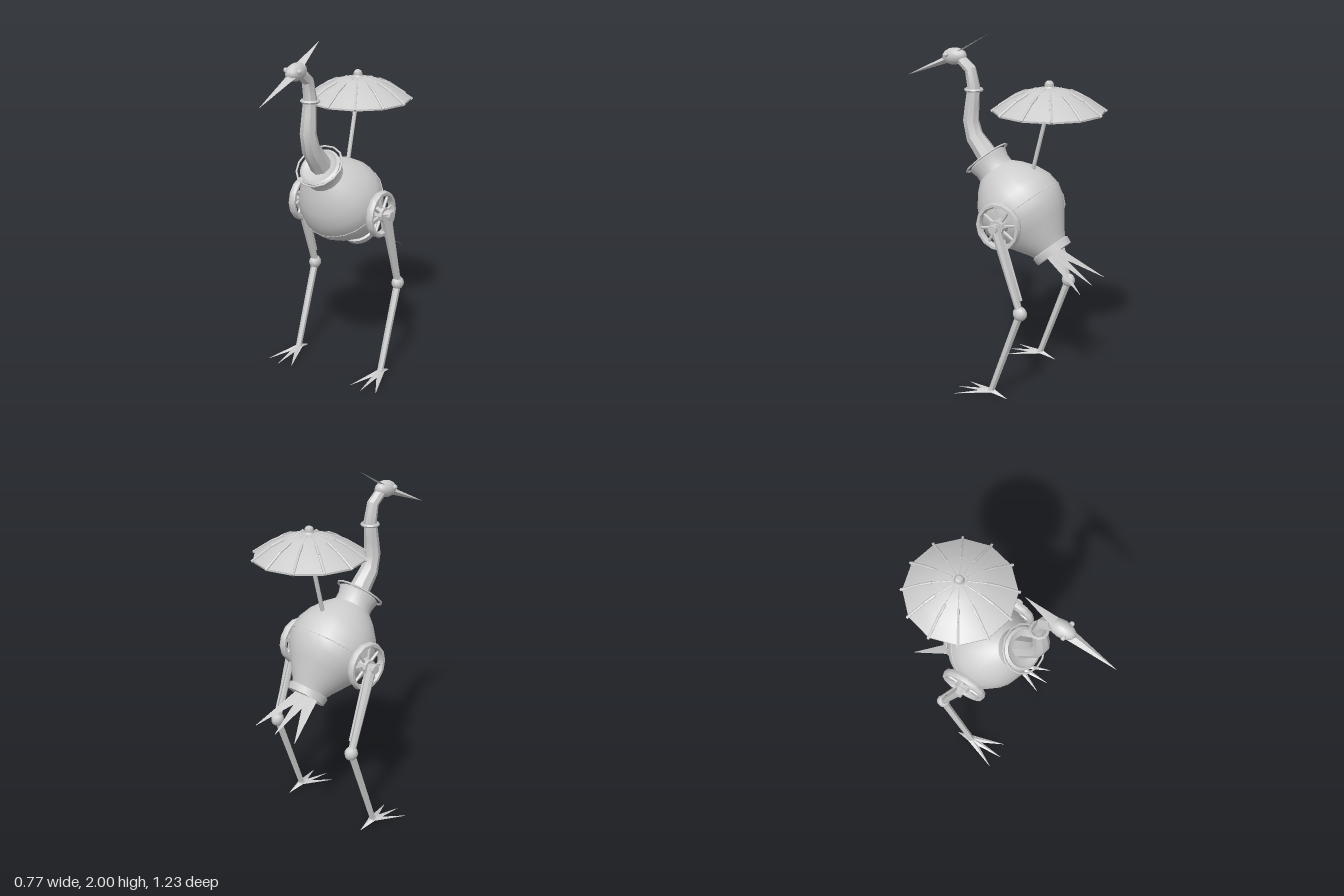
import * as THREE from 'three';
import { toCreasedNormals } from 'three/addons/utils/BufferGeometryUtils.js';

const grey = new THREE.MeshStandardMaterial({ color: 0xcccccc });
grey.name = 'light grey';
const V = (x, y, z) => new THREE.Vector3(x, y, z);

function add(parent, name, geometry, crease = 0.6) {
  const mesh = new THREE.Mesh(toCreasedNormals(geometry, crease), grey);
  mesh.name = name;
  parent.add(mesh);
  return mesh;
}

// Tapered bar from a to b; "flat" squashes it across the sideways axis
function bar(parent, name, a, b, ra, rb, sides = 8, flat = 1) {
  const d = b.clone().sub(a);
  const length = d.length();
  d.normalize();
  const ref = Math.abs(d.x) > 0.9 ? V(0, 1, 0) : V(1, 0, 0);
  const side = ref.addScaledVector(d, -ref.dot(d)).normalize();
  const g = new THREE.CylinderGeometry(rb, ra, length, sides);
  g.scale(1, 1, flat);
  g.applyMatrix4(new THREE.Matrix4().makeBasis(side, d, side.clone().cross(d)));
  g.translate(...a.clone().add(b).multiplyScalar(0.5).toArray());
  return add(parent, name, g);
}

function ball(parent, name, p, r, w = 12, h = 8, crease = 0.9) {
  const mesh = add(parent, name, new THREE.SphereGeometry(r, w, h), crease);
  mesh.position.copy(p);
  return mesh;
}

// Flat-lying ring around the local y axis
function ring(parent, name, r, tube, y, sides = 24) {
  const g = new THREE.TorusGeometry(r, tube, 6, sides);
  g.rotateX(Math.PI / 2);
  g.translate(0, y, 0);
  return add(parent, name, g, 1.1);
}

function makePot() {
  const pot = new THREE.Group();
  pot.name = 'potBody';
  const profile = [
    [0, -0.012], [0.1, -0.012], [0.112, -0.018], [0.118, 0.022], [0.106, 0.028],
    [0.125, 0.06], [0.195, 0.16], [0.232, 0.225], [0.249, 0.295], [0.24, 0.37],
    [0.208, 0.44], [0.155, 0.51], [0.108, 0.555], [0.107, 0.59], [0.12, 0.636],
    [0.105, 0.645], [0.09, 0.632], [0, 0.632],
  ].map(([r, t]) => new THREE.Vector2(r, t));
  add(pot, 'potShell', new THREE.LatheGeometry(profile, 24), 0.75);
  ring(pot, 'potRim', 0.137, 0.006, 0.645, 14);
  ring(pot, 'potSeam', 0.249, 0.003, 0.295);
  pot.position.set(0, 0.822, -0.339);
  pot.rotation.x = 0.722;
  return pot;
}

function makeNeckAndHead() {
  const g = new THREE.Group();
  g.name = 'neckAndHead';

  // Neck: a tube whose rings are resized along its length
  const path = new THREE.CatmullRomCurve3([
    V(0, 1.27, 0.045), V(0, 1.35, 0.105), V(0, 1.45, 0.185), V(0, 1.565, 0.188),
    V(0, 1.68, 0.17), V(0, 1.77, 0.178), V(0, 1.825, 0.205), V(0, 1.865, 0.265),
  ], false, 'catmullrom', 0.3);
  const n = 7, sides = 8;
  const tube = new THREE.TubeGeometry(path, n, 1, sides);
  const pos = tube.attributes.position;
  const v = V(0, 0, 0);
  for (let i = 0; i <= n; i++) {
    const c = path.getPointAt(i / n);
    const r = 0.031 + 0.034 * Math.pow(1 - i / n, 1.4);
    for (let j = 0; j <= sides; j++) {
      const k = i * (sides + 1) + j;
      v.fromBufferAttribute(pos, k).sub(c).multiplyScalar(r).add(c);
      pos.setXYZ(k, v.x, v.y, v.z);
    }
  }
  add(g, 'neck', tube, 0.5);
  const collar = ring(g, 'neckCollar', 0.045, 0.01, 0, 12);
  collar.position.set(0, 1.69, 0.17);

  // Head, eyes, beak and crest
  const head = ball(g, 'head', V(0, 1.868, 0.295), 1);
  head.scale.set(0.045, 0.048, 0.078);
  head.rotation.x = 0.1;
  for (const s of [-1, 1]) ball(g, 'eye', V(s * 0.043, 1.878, 0.325), 0.014, 8, 6);
  bar(g, 'beak', V(0, 1.85, 0.335), V(0, 1.738, 0.612), 0.032, 0.001, 4, 0.65);
  bar(g, 'crest', V(0, 1.898, 0.265), V(0, 2, 0.085), 0.03, 0.001, 4, 0.18);
  return g;
}

function makeParasol() {
  const g = new THREE.Group();
  g.name = 'parasol';
  const cz = -0.303;

  // Twelve-panel canopy with a shallow hollow underside
  const profile = [
    [0, 1.64], [0.303, 1.61], [0.303, 1.62], [0.21, 1.683], [0.11, 1.728], [0, 1.75],
  ].map(([r, y]) => new THREE.Vector2(r, y));
  add(g, 'canopy', new THREE.LatheGeometry(profile, 12), 0.7).position.z = cz;

  const ribPoints = [[0.312, 1.616], [0.205, 1.687], [0.14, 1.717], [0.04, 1.742]];
  for (let i = 0; i < 12; i++) {
    const rib = new THREE.Group();
    rib.name = 'canopyRib';
    for (let k = 0; k < 3; k++) {
      const [r0, y0] = ribPoints[k], [r1, y1] = ribPoints[k + 1];
      const w = k < 2 ? 0.008 : 0.004;
      bar(rib, 'ribSegment', V(0, y0, r0), V(0, y1, r1), w, w, 6);
    }
    rib.position.z = cz;
    rib.rotation.y = (i * Math.PI) / 6;
    g.add(rib);
  }
  bar(g, 'finialBase', V(0, 1.735, cz), V(0, 1.757, cz), 0.036, 0.022, 12);
  ball(g, 'finial', V(0, 1.758, cz), 0.026);
  bar(g, 'pole', V(0, 1.2, -0.19), V(0, 1.7, -0.314), 0.012, 0.012, 8);
  return g;
}

function makeLeg(s) {
  const g = new THREE.Group();
  g.name = s > 0 ? 'leftLeg' : 'rightLeg';
  const P = (x, y, z) => V(s * x, y, z);
  const cy = 1.01, cz = -0.143;

  // Spoked wheel at the hip
  const rim = new THREE.TorusGeometry(0.122, 0.016, 6, 14);
  rim.rotateY(Math.PI / 2);
  rim.scale(1.5, 1, 1);
  add(g, 'wheelRim', rim, 0.8).position.copy(P(0.267, cy, cz));
  for (let i = 0; i < 8; i++) {
    const a = (i * Math.PI) / 4 + 0.2;
    bar(g, 'wheelSpoke', P(0.27, cy, cz),
      P(0.27, cy + 0.12 * Math.cos(a), cz + 0.12 * Math.sin(a)), 0.01, 0.008, 6);
  }
  bar(g, 'wheelHub', P(0.23, cy, cz), P(0.295, cy, cz), 0.045, 0.042, 10);
  bar(g, 'hipPin', P(0.28, cy, cz), P(0.338, cy, cz), 0.025, 0.025, 10);

  // Thigh, push rod, knee and shin
  const knee = P(0.298, 0.542, -0.296);
  const ankle = P(0.298, 0.04, -0.115);
  bar(g, 'thigh', P(0.3, 1.03, -0.137), knee, 0.035, 0.022, 8, 0.8);
  bar(g, 'pushRod', P(0.29, 0.95, -0.19), P(0.295, 0.62, -0.302), 0.008, 0.008, 6);
  ball(g, 'knee', knee, 0.041, 10, 8).scale.x = 0.88;
  bar(g, 'shin', knee, ankle, 0.022, 0.018, 6);

  // Foot: three front toes and one behind
  ball(g, 'ankle', ankle, 0.02, 8, 6);
  const tips = [[0.214, 0.08], [0.298, 0.106], [0.386, 0.08], [0.298, -0.217]];
  for (const [x, z] of tips) {
    bar(g, 'toe', P(0.298, 0.033, -0.12), P(x, 0.004, z), 0.023, 0.001, 4, 0.6);
  }
  return g;
}

export function createModel() {
  const model = new THREE.Group();
  model.name = 'potBird';
  model.add(makePot(), makeNeckAndHead(), makeParasol(), makeLeg(1), makeLeg(-1));

  // Fan of tail feathers under the pot
  for (const s of [-1, 0, 1]) {
    bar(model, 'tailFeather', V(s * 0.03, 0.825, -0.325), V(s * 0.155, 0.664, -0.587),
      0.05, 0.002, 4, 0.12);
  }
  return model;
}
